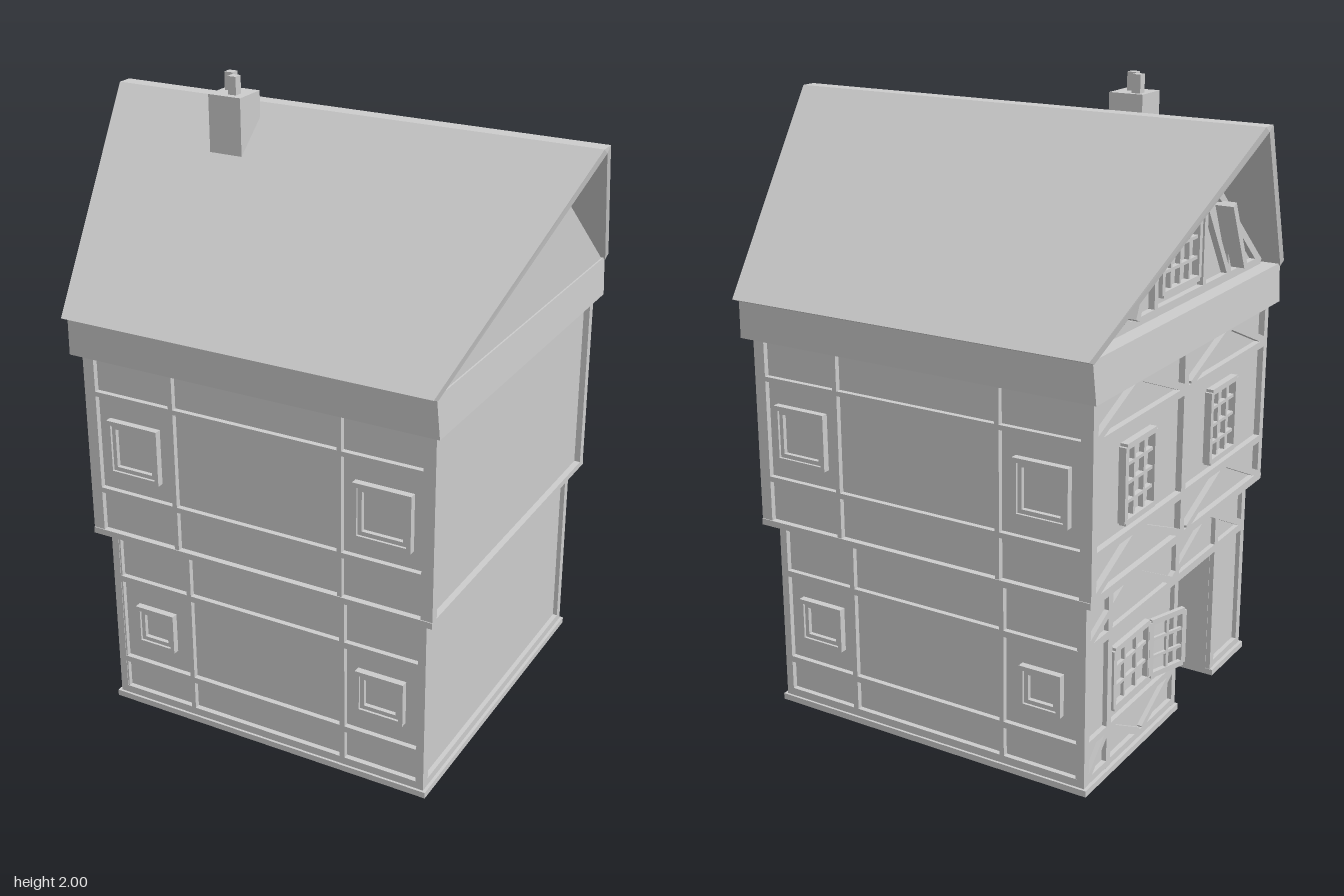
import * as THREE from 'three';

const mat = new THREE.MeshStandardMaterial({ color: 0xcccccc, flatShading: true });

function add(parent, name, geo, x = 0, y = 0, z = 0) {
  const m = new THREE.Mesh(geo, mat);
  m.name = name;
  m.position.set(x, y, z);
  parent.add(m);
  return m;
}
const box = (w, h, d) => new THREE.BoxGeometry(w, h, d);
const poly = pts => new THREE.Shape(pts.map(p => new THREE.Vector2(p[0], p[1])));
const rect = (x0, y0, x1, y1) => poly([[x0, y0], [x1, y0], [x1, y1], [x0, y1]]);
const extrude = (shape, depth) => new THREE.ExtrudeGeometry(shape, { depth, bevelEnabled: false });

// Timber plate with a grid of openings between the given column and row spans
function timberPlate(half, y0, y1, cols, rows, depth) {
  const s = rect(-half, y0, half, y1);
  for (const [a, b] of cols) for (const [c, d] of rows) s.holes.push(rect(a, c, b, d));
  return extrude(s, depth);
}

// Square ring with a thinner inner ring
function windowFrame(parent, x0, y0, x1, y1, z) {
  const g = new THREE.Group();
  g.name = 'windowFrame';
  [[0, 0.026], [0.013, 0.018]].forEach(([o, depth]) => {
    const s = rect(x0 + o, y0 + o, x1 - o, y1 - o), i = o + 0.014;
    s.holes.push(rect(x0 + i, y0 + i, x1 - i, y1 - i));
    add(g, 'windowTrim', extrude(s, depth), 0, 0, z);
  });
  parent.add(g);
}

// Plan outline with the doorway cut into the -x side, raised to a height
function notchedFloor(hx, hz, h) {
  const g = extrude(poly([[-hx, -hz], [hx, -hz], [hx, hz], [-hx, hz],
    [-hx, -0.05], [-0.31, -0.05], [-0.31, -0.31], [-hx, -0.31]]), h);
  return g.rotateX(-Math.PI / 2);
}

// Beam lying on the -x facade between two (z, y) points
function beam(parent, x, [z0, y0], [z1, y1], w = 0.022, t = 0.03) {
  const m = add(parent, 'timber', box(t, Math.hypot(z1 - z0, y1 - y0), w), x, (y0 + y1) / 2, (z0 + z1) / 2);
  m.rotation.x = Math.atan2(z1 - z0, y1 - y0);
}

// Leaded window on the -x facade
function paneWindow(parent, x, z0, y0, z1, y1, cols, rows) {
  const g = new THREE.Group();
  g.name = 'leadedWindow';
  for (let i = 0; i <= cols; i++) {
    const z = z0 + (z1 - z0) * i / cols, edge = i % cols === 0;
    beam(g, x, [z, y0], [z, y1], edge ? 0.018 : 0.01, edge ? 0.036 : 0.022);
  }
  for (let j = 0; j <= rows; j++) {
    const y = y0 + (y1 - y0) * j / rows, edge = j % rows === 0;
    beam(g, x, [z0, y], [z1, y], edge ? 0.018 : 0.01, edge ? 0.036 : 0.022);
  }
  parent.add(g);
}

export function createModel() {
  const house = new THREE.Group();
  house.name = 'timberHouse';

  // Plinth and storeys
  add(house, 'plinth', notchedFloor(0.56, 0.555, 0.02));
  add(house, 'lowerWalls', notchedFloor(0.535, 0.53, 0.45));
  add(house, 'lowerWallsTop', box(1.07, 0.2, 1.06), 0, 0.55, 0);
  add(house, 'upperWalls', box(1.13, 0.61, 1.134), 0, 0.93, 0);
  add(house, 'upperFloorEdge', box(1.17, 0.02, 1.174), 0, 0.63, 0);

  // Timbered long walls, front and back
  const storeys = [
    { half: 0.55, z: 0.53, y0: 0.02, y1: 0.62,
      cols: [[-0.525, -0.275], [-0.26, 0.265], [0.282, 0.525]], rows: [[0.045, 0.14], [0.16, 0.44], [0.46, 0.6]],
      windows: [[-0.47, 0.23, -0.33, 0.365], [0.32, 0.23, 0.48, 0.375]] },
    { half: 0.585, z: 0.567, y0: 0.62, y1: 1.24,
      cols: [[-0.547, -0.285], [-0.27, 0.278], [0.293, 0.547]], rows: [[0.64, 0.77], [0.787, 1.095], [1.11, 1.23]],
      windows: [[-0.51, 0.845, -0.33, 1.025], [0.33, 0.845, 0.515, 1.025]] },
  ];
  for (const side of [1, -1]) {
    const wall = new THREE.Group();
    wall.name = side > 0 ? 'frontWall' : 'backWall';
    for (const s of storeys) {
      const spans = s.cols.map(([a, b]) => side > 0 ? [a, b] : [-b, -a]);
      add(wall, 'timberFrame', timberPlate(s.half, s.y0, s.y1, spans, s.rows, 0.017), 0, 0, s.z);
      for (const [a, c, b, d] of s.windows) windowFrame(wall, side > 0 ? a : -b, c, side > 0 ? b : -a, d, s.z - 0.004);
    }
    if (side < 0) wall.rotation.y = Math.PI;
    house.add(wall);
  }

  // Plain left wall (+x): one large panel per storey
  const left = new THREE.Group();
  left.name = 'leftWall';
  add(left, 'lowerFrame', timberPlate(0.545, 0.02, 0.62, [[-0.515, 0.52]], [[0.045, 0.605]], 0.015), 0, 0, 0.535);
  add(left, 'upperFrame', timberPlate(0.584, 0.62, 1.24, [[-0.556, 0.556]], [[0.64, 1.235]], 0.02), 0, 0, 0.565);
  left.rotation.y = Math.PI / 2;
  house.add(left);

  // Entrance facade (-x), lower storey
  const facade = new THREE.Group();
  facade.name = 'entranceFacade';
  house.add(facade);
  const lx = -0.535, ux = -0.57;
  for (const z of [-0.532, -0.4, 0.035, 0.325, 0.532]) beam(facade, lx, [z, 0.02], [z, 0.62], 0.026);
  for (const y of [0.46, 0.605]) beam(facade, lx, [-0.54, y], [0.54, y], 0.026);
  for (const y of [0.033, 0.15]) beam(facade, lx, [-0.54, y], [0.035, y]);
  beam(facade, lx, [0.325, 0.033], [0.54, 0.033]);
  beam(facade, lx, [-0.52, 0.04], [-0.4, 0.15]);
  beam(facade, lx, [-0.4, 0.15], [-0.2, 0.04]);
  beam(facade, lx, [-0.18, 0.04], [0.03, 0.15]);
  for (let i = 0; i < 4; i++) {
    const z = -0.53 + i * 0.265;
    beam(facade, lx, [z, i % 2 ? 0.6 : 0.47], [z + 0.265, i % 2 ? 0.47 : 0.6]);
  }
  paneWindow(facade, lx, -0.37, 0.2, -0.15, 0.39, 3, 3);

  // Open window shutter
  const shutter = new THREE.Group();
  shutter.name = 'openShutter';
  paneWindow(shutter, 0, 0, 0.205, 0.14, 0.385, 2, 3);
  shutter.scale.x = 0.4;
  shutter.position.set(-0.55, 0, -0.14);
  shutter.rotation.y = -0.33;
  house.add(shutter);

  // Door at the back of the porch
  add(house, 'door', box(0.012, 0.4, 0.2), -0.313, 0.21, 0.18);

  // Entrance facade, upper storey
  for (const z of [-0.57, -0.015, 0.57]) beam(facade, ux, [z, 0.62], [z, 1.24], 0.028);
  for (const y of [0.635, 0.77, 1.1, 1.225]) beam(facade, ux, [-0.58, y], [0.58, y], 0.024);
  for (const [a, b] of [[0.645, 0.765], [1.11, 1.22]]) {
    for (const s of [-1, 1]) {
      beam(facade, ux, [s * 0.56, a], [s * 0.3, b]);
      beam(facade, ux, [s * 0.3, b], [s * 0.02, a]);
    }
  }
  for (const z of [-0.3, 0.26]) paneWindow(facade, ux, z - 0.09, 0.81, z + 0.09, 1.04, 3, 4);

  // Flared band under the eaves
  const band = box(2, 0.125, 2), p = band.attributes.position;
  for (let i = 0; i < p.count; i++) {
    const top = p.getY(i) > 0;
    p.setX(i, p.getX(i) * (top ? 0.6 : 0.608));
    p.setZ(i, p.getZ(i) * (top ? 0.622 : 0.614));
  }
  band.computeVertexNormals();
  add(house, 'eavesBand', band, 0, 1.2925, 0);

  // Attic with gable ends
  const attic = extrude(poly([[-0.61, 1.35], [0.61, 1.35], [0, 1.873]]), 1.125);
  add(house, 'attic', attic.rotateY(Math.PI / 2), -0.53, 0, 0);

  // Gable timbers above the entrance
  const gable = new THREE.Group();
  gable.name = 'gableTimbers';
  house.add(gable);
  const gx = -0.535;
  beam(gable, gx, [-0.58, 1.367], [0.58, 1.367], 0.026);
  beam(gable, gx, [-0.24, 1.64], [0.24, 1.64]);
  beam(gable, gx, [0, 1.64], [0, 1.84]);
  for (const s of [-1, 1]) {
    beam(gable, gx, [s * 0.58, 1.36], [0, 1.855], 0.026);
    beam(gable, gx, [s * 0.16, 1.36], [s * 0.16, 1.71]);
    beam(gable, gx, [s * 0.34, 1.36], [s * 0.34, 1.56]);
    beam(gable, gx, [s * 0.34, 1.37], [s * 0.17, 1.63]);
    beam(gable, gx - 0.03, [s * 0.36, 1.4], [s * 0.26, 1.61], 0.024, 0.06);
  }
  paneWindow(gable, gx, -0.12, 1.41, 0.12, 1.6, 4, 3);

  // Roof shell, wider along the ridge than along the eaves
  const roof = extrude(poly([[0.648, 1.358], [0.025, 1.9], [-0.025, 1.9], [-0.648, 1.358],
    [-0.62, 1.346], [0, 1.883], [0.62, 1.346]]), 1);
  roof.rotateY(Math.PI / 2);
  const r = roof.attributes.position;
  for (let i = 0; i < r.count; i++) {
    const t = THREE.MathUtils.clamp((r.getY(i) - 1.358) / 0.525, 0, 1);
    r.setX(i, (r.getX(i) - 0.5) * 2 * (0.603 + 0.2 * t));
  }
  roof.computeVertexNormals();
  add(house, 'roof', roof);

  // Chimney with two pots
  add(house, 'chimney', box(0.11, 0.245, 0.11), -0.32, 1.8225, 0.12);
  for (const [x, z] of [[-0.345, 0.095], [-0.307, 0.138]]) add(house, 'chimneyPot', box(0.028, 0.06, 0.028), x, 1.97, z);

  return house;
}
